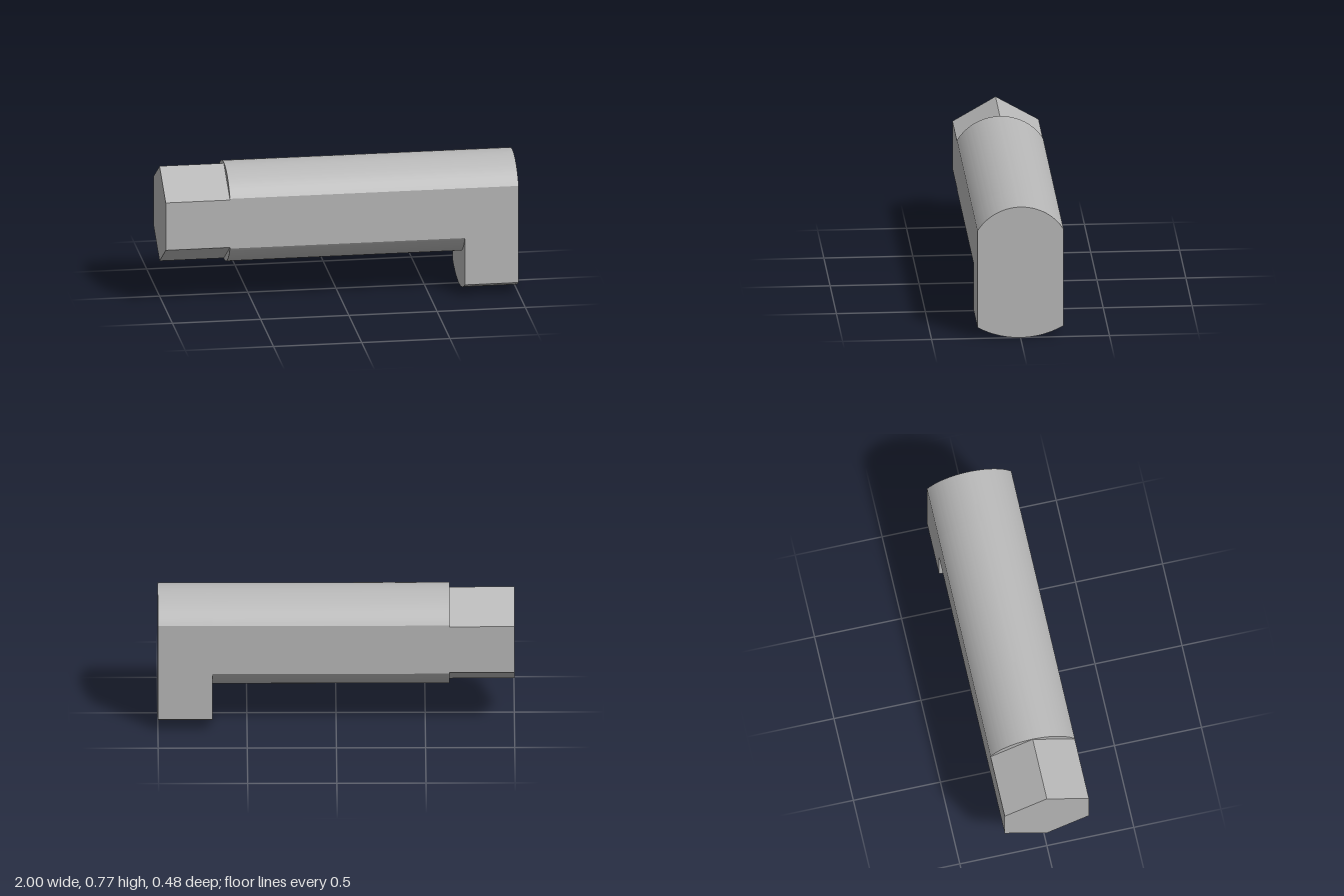
import * as THREE from 'three';
import { toCreasedNormals } from 'three/addons/utils/BufferGeometryUtils.js';

const AXIS_Y = 0.487;    // height of the shaft axis
const HALF_WIDTH = 0.242; // distance from the axis to each side flat
const SHAFT_R = 0.283;
const FOOT_R = 0.487;

// Round profile cut by two vertical flats, with its own top and bottom radius
function flattedProfile(topR, bottomR) {
  const a = Math.acos(HALF_WIDTH / topR);
  const b = Math.acos(HALF_WIDTH / bottomR);
  const shape = new THREE.Shape();
  shape.absarc(0, 0, topR, a, Math.PI - a, false);
  shape.absarc(0, 0, bottomR, Math.PI + b, 2 * Math.PI - b, false);
  shape.closePath();
  return shape;
}

// Hexagon with points up and down, flats flush with the shaft sides
function hexProfile() {
  const r = HALF_WIDTH / Math.cos(Math.PI / 6);
  const points = [];
  for (let i = 0; i < 6; i++) {
    const t = Math.PI / 6 + (i * Math.PI) / 3;
    points.push(new THREE.Vector2(r * Math.cos(t), r * Math.sin(t)));
  }
  return new THREE.Shape(points);
}

export function createModel() {
  const group = new THREE.Group();
  const steel = new THREE.MeshStandardMaterial({ color: 0xb8b8b8 });
  steel.name = 'steel grey';

  // Sweep a profile along x from x0 to x1
  function addBar(name, shape, x0, x1) {
    let geometry = new THREE.ExtrudeGeometry(shape, {
      depth: x1 - x0, bevelEnabled: false, curveSegments: 32,
    });
    geometry.rotateY(Math.PI / 2);
    geometry.translate(x0, AXIS_Y, 0);
    geometry = toCreasedNormals(geometry, 0.3);
    const mesh = new THREE.Mesh(geometry, steel);
    mesh.name = name;
    group.add(mesh);
  }

  addBar('hexEnd', hexProfile(), -1, -0.636);
  addBar('shaft', flattedProfile(SHAFT_R, SHAFT_R), -0.636, 0.695);
  addBar('hookHead', flattedProfile(SHAFT_R, FOOT_R), 0.695, 1);

  return group;
}
